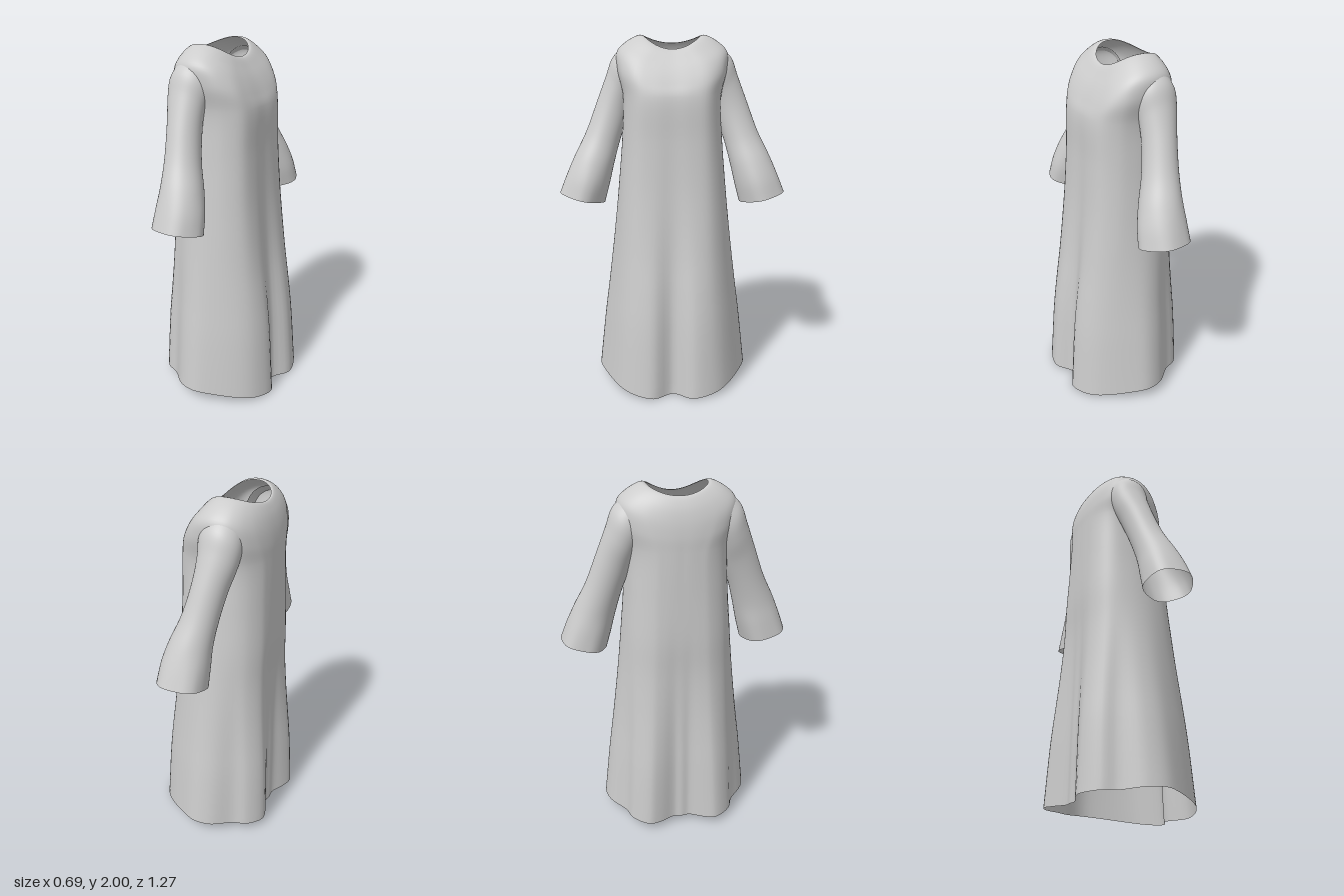
import * as THREE from 'three';

const cloth = new THREE.MeshStandardMaterial({ color: 0xcccccc, side: THREE.DoubleSide });
cloth.name = 'light grey cloth';

// Skin a smooth open tube over closed rings of points, listed from bottom to top
function loft(rings, around, up) {
  const loops = rings.map(r => {
    const c = new THREE.CatmullRomCurve3(r, true, 'centripetal');
    return Array.from({ length: around }, (_, i) => c.getPoint(i / around));
  });
  const pos = [], index = [];
  const columns = Array.from({ length: around }, (_, i) =>
    new THREE.CatmullRomCurve3(loops.map(l => l[i]), false, 'centripetal').getPoints(up));
  for (let j = 0; j <= up; j++) {
    for (let i = 0; i < around; i++) pos.push(...columns[i][j].toArray());
  }
  for (let j = 0; j < up; j++) {
    for (let i = 0; i < around; i++) {
      const n = (i + 1) % around, a = j * around, b = a + around;
      index.push(a + i, b + i, a + n, b + i, b + n, a + n);
    }
  }
  const g = new THREE.BufferGeometry();
  g.setAttribute('position', new THREE.Float32BufferAttribute(pos, 3));
  g.setIndex(index);
  g.computeVertexNormals();
  return g;
}

// Half outlines (x, z) from chest to back, scaled to a unit box
const unit = (pts, xc, hx, hz) => pts.map(([x, z]) => [(x - xc) / hx, z / hz]);
const roundShape = Array.from({ length: 13 }, (_, i) => {
  const a = i * Math.PI / 12, c = Math.cos(a);
  return [Math.sign(c) * Math.abs(c) ** 0.9, Math.abs(Math.sin(a)) ** 0.9];
});
const torsoShape = unit([
  [0.19, 0], [0.19, 0.1], [0.17, 0.19], [0.1, 0.25], [0.03, 0.27], [-0.04, 0.275], [-0.1, 0.27],
  [-0.17, 0.25], [-0.22, 0.21], [-0.26, 0.14], [-0.27, 0.09], [-0.275, 0.04], [-0.275, 0],
], -0.0425, 0.2325, 0.275);
const hemShape = unit([
  [0.28, 0], [0.345, 0.11], [0.32, 0.22], [0.26, 0.3], [0.1, 0.4], [0, 0.435], [-0.1, 0.41],
  [-0.2, 0.325], [-0.28, 0.29], [-0.34, 0.2], [-0.325, 0.13], [-0.285, 0.045], [-0.29, 0],
], 0, 0.345, 0.435);
const shapes = [roundShape, torsoShape, hemShape, hemShape];

// Gown ring: outline blend, chest x, back x, half width, then chest, side and back heights
function gownRing([s, xf, xb, hz, yf, ys = yf, yb = yf]) {
  const k = Math.floor(s), t = s - k;
  const half = shapes[k].map(([u, w], i) => {
    const [u2, w2] = shapes[k + 1][i];
    const x = THREE.MathUtils.lerp(u, u2, t), z = THREE.MathUtils.lerp(w, w2, t);
    const ends = THREE.MathUtils.lerp(yb, yf, THREE.MathUtils.smoothstep(x, -1, 1));
    return new THREE.Vector3((xf + xb) / 2 + x * (xf - xb) / 2,
      THREE.MathUtils.lerp(ends, ys, z * z), z * hz);
  });
  const mirrored = half.slice(1, -1).reverse().map(p => new THREE.Vector3(p.x, p.y, -p.z));
  return [...half, ...mirrored];
}

// Sleeve ring: outer (z, y), inner (z, y), back x, chest x, ripple
function sleeveRing([oz, oy, iz, iy, xb, xf, ripple = 0]) {
  return Array.from({ length: 20 }, (_, i) => {
    const a = i * Math.PI / 10, r = 1 + ripple * Math.cos(5 * a + 0.6);
    const c = Math.cos(a) * r, s = Math.sin(a) * r;
    return new THREE.Vector3((xf + xb) / 2 + c * (xf - xb) / 2,
      (oy + iy) / 2 + s * (oy - iy) / 2, (oz + iz) / 2 + s * (oz - iz) / 2);
  });
}

export function createModel() {
  const model = new THREE.Group();
  model.name = 'gown';

  // Body from flared, folded hem to neckline
  const body = new THREE.Mesh(loft([
    [2, 0.345, -0.345, 0.435, 0, 0.07, 0.04],
    [1.85, 0.315, -0.33, 0.397, 0.4],
    [1.7, 0.29, -0.315, 0.37, 0.6],
    [1.5, 0.26, -0.3, 0.345, 0.8],
    [1.3, 0.235, -0.29, 0.322, 1.0],
    [1.15, 0.215, -0.29, 0.302, 1.2],
    [1.05, 0.2, -0.282, 0.28, 1.45],
    [1, 0.192, -0.275, 0.272, 1.68],
    [0.8, 0.168, -0.273, 0.305, 1.75, 1.82, 1.76],
    [0.5, 0.135, -0.262, 0.305, 1.82, 1.91, 1.84],
    [0.3, 0.1, -0.242, 0.25, 1.875, 1.965, 1.905],
    [0.15, 0.068, -0.215, 0.18, 1.918, 1.998, 1.95],
    [0.15, 0.055, -0.205, 0.158, 1.925, 1.995, 1.953],
  ].map(gownRing), 96, 70), cloth);
  body.name = 'gownBody';
  model.add(body);

  // Bell sleeves, the second mirrored across z
  const sleeveGeometry = loft([
    [0.635, 1.14, 0.385, 1.08, -0.14, 0.13, 0.03],
    [0.595, 1.24, 0.357, 1.18, -0.138, 0.118, 0.015],
    [0.55, 1.34, 0.33, 1.29, -0.135, 0.09],
    [0.485, 1.47, 0.295, 1.42, -0.145, 0.045],
    [0.42, 1.64, 0.25, 1.55, -0.168, 0.015],
    [0.367, 1.78, 0.225, 1.63, -0.195, 0.01],
    [0.33, 1.875, 0.2, 1.68, -0.205, 0.02],
    [0.27, 1.935, 0.17, 1.72, -0.2, 0.02],
  ].map(sleeveRing), 60, 40);
  for (const side of [1, -1]) {
    const sleeve = new THREE.Mesh(sleeveGeometry, cloth);
    sleeve.name = side > 0 ? 'frontSleeve' : 'backSleeve';
    sleeve.scale.z = side;
    model.add(sleeve);
  }
  return model;
}
